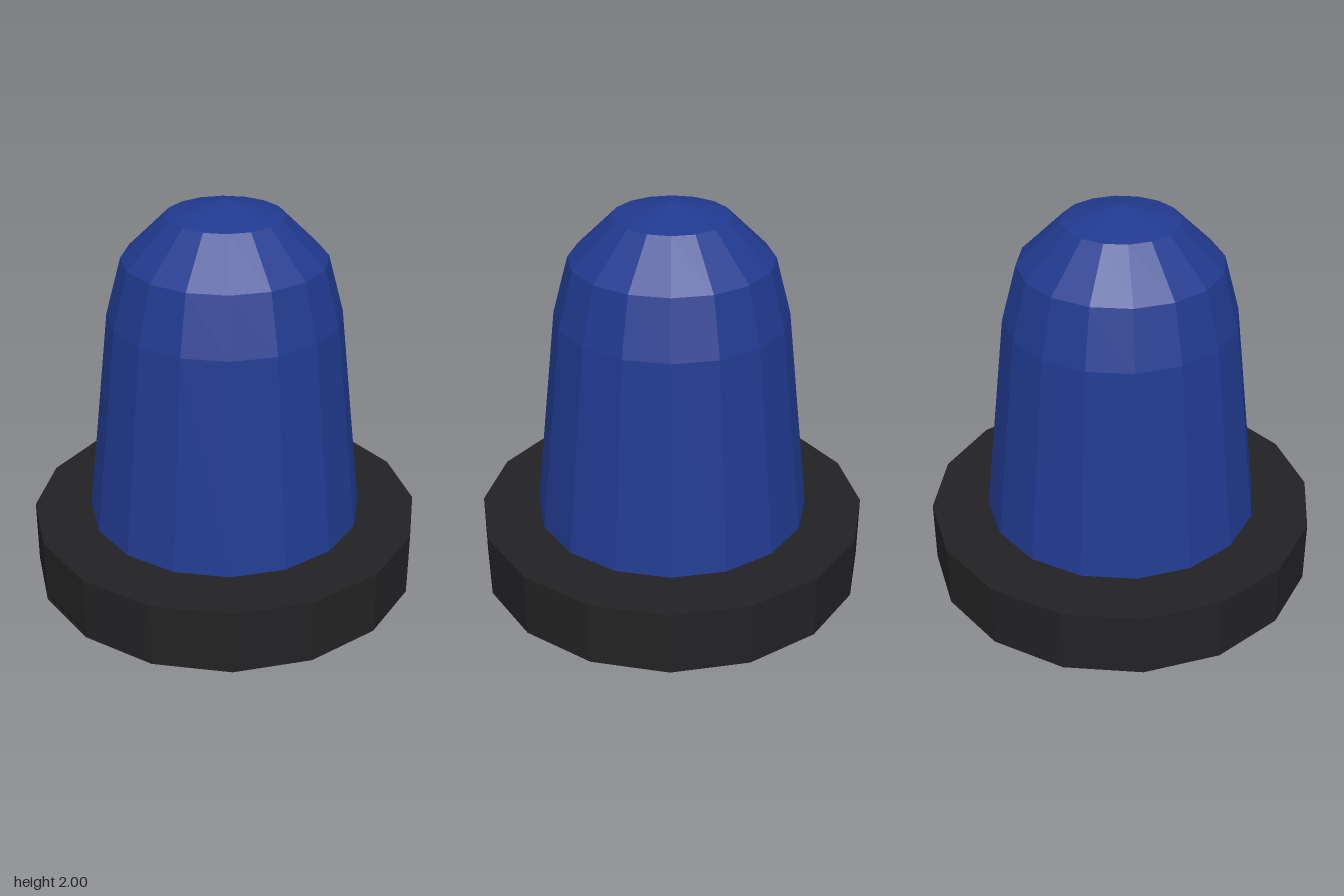
import * as THREE from 'three';

const SIDES = 16;

export function createModel() {
  const group = new THREE.Group();
  group.name = 'beaconLight';

  // Squat sixteen-sided mounting base
  const base = new THREE.Mesh(
    new THREE.CylinderGeometry(1, 1, 0.335, SIDES),
    new THREE.MeshStandardMaterial({ color: 0x222224, flatShading: true })
  );
  base.name = 'base';
  base.position.y = 0.335 / 2;
  group.add(base);

  // Tapered lens with a faceted domed top
  const profile = [
    [0.706, 0.335],
    [0.583, 1.42],
    [0.505, 1.71],
    [0.288, 1.923],
    [0, 2],
  ].map(([r, y]) => new THREE.Vector2(r, y));
  const lens = new THREE.Mesh(
    new THREE.LatheGeometry(profile, SIDES),
    new THREE.MeshStandardMaterial({ color: 0x213a8f, flatShading: true })
  );
  lens.name = 'lens';
  group.add(lens);

  return group;
}
